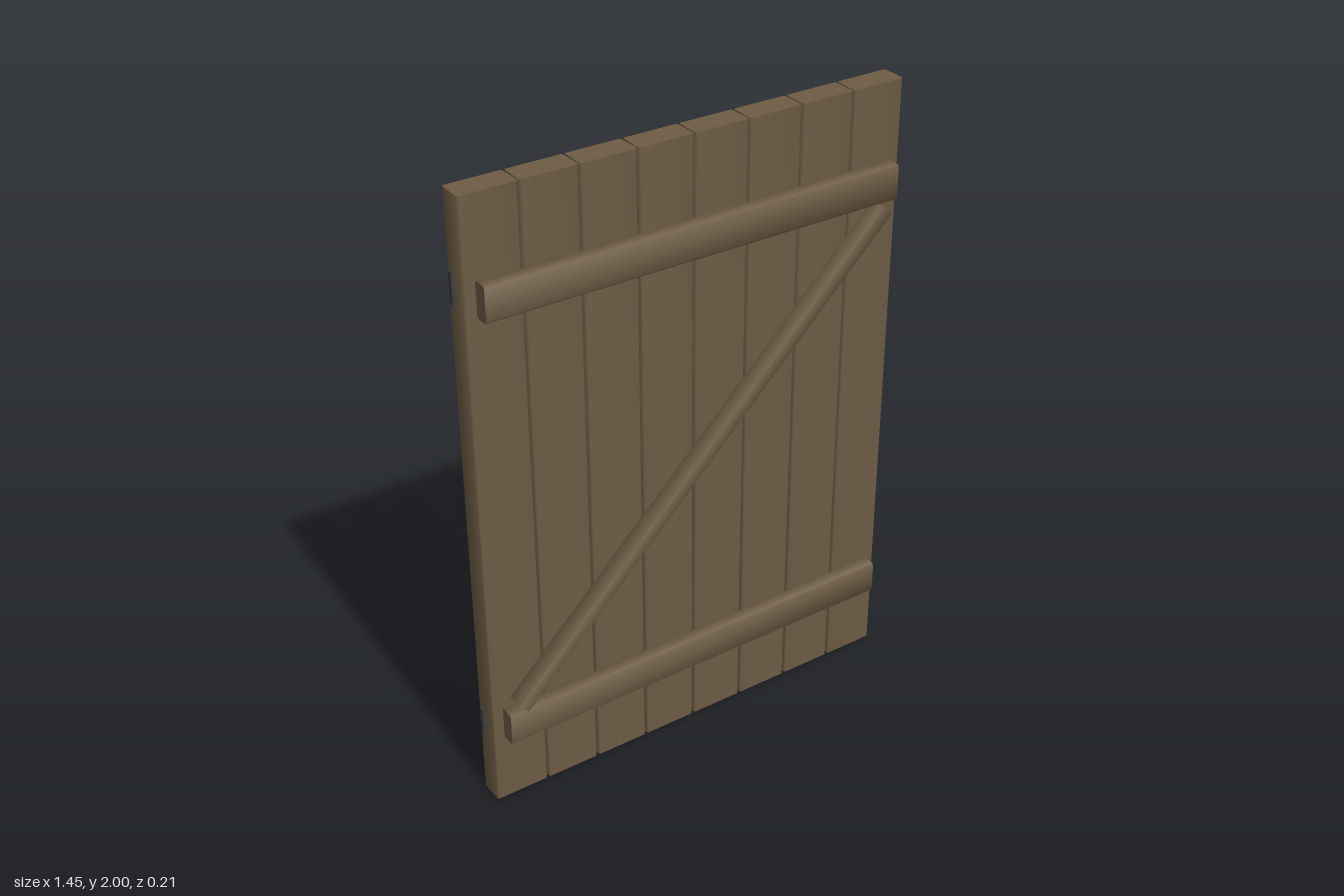
import * as THREE from 'three';
import { toCreasedNormals } from 'three/addons/utils/BufferGeometryUtils.js';

// Upright beam along y with chamfered long edges, softly shaded across the chamfers
function beamGeometry(width, height, depth, chamfer) {
  const w = width / 2, d = depth / 2, c = chamfer;
  const section = new THREE.Shape([
    [w - c, -d], [w, -d + c], [w, d - c], [w - c, d],
    [-w + c, d], [-w, d - c], [-w, -d + c], [-w + c, -d],
  ].map(([x, y]) => new THREE.Vector2(x, y)));
  const g = new THREE.ExtrudeGeometry(section, { depth: height, bevelEnabled: false });
  g.translate(0, 0, -height / 2).rotateX(-Math.PI / 2);
  return toCreasedNormals(g, 0.9);
}

export function createModel() {
  const model = new THREE.Group();
  model.name = 'plankDoor';
  const wood = new THREE.MeshStandardMaterial({ color: 0x6e5d45 });
  wood.name = 'brown wood';
  const iron = new THREE.MeshStandardMaterial({ color: 0x384141 });
  iron.name = 'dark iron';

  function add(name, geometry, material, x, y, z, parent = model) {
    const mesh = new THREE.Mesh(geometry, material);
    mesh.name = name;
    mesh.position.set(x, y, z);
    parent.add(mesh);
    return mesh;
  }
  const box = (w, h, d) => new THREE.BoxGeometry(w, h, d);

  // Eight upright planks with narrow gaps
  const pitch = 1.45 / 8;
  const plank = beamGeometry(pitch - 0.006, 2, 0.082, 0.005);
  for (let i = 0; i < 8; i++) {
    add('plank', plank, wood, (i - 3.5) * pitch, 1, 0.005);
  }

  // Cross rails and diagonal brace on the front
  const rail = beamGeometry(0.11, 1.372, 0.047, 0.006);
  for (const y of [0.286, 1.702]) {
    add('rail', rail, wood, 0, y, 0.069).rotation.z = Math.PI / 2;
  }
  const brace = add('brace', beamGeometry(0.046, 1.81, 0.061, 0.004), wood, 0, 0.992, 0.0755);
  brace.rotation.z = -Math.atan2(1.29, 1.27);

  // Iron straps with bolts on the back, hinge plates on the edge
  const bolt = new THREE.CylinderGeometry(0.006, 0.006, 0.012, 8).rotateX(Math.PI / 2);
  for (const y of [0.27, 1.72]) {
    const hinge = new THREE.Group();
    hinge.name = 'hinge';
    model.add(hinge);
    add('strap', box(1.19, 0.042, 0.018), iron, -0.105, y, -0.045, hinge);
    for (const x of [-0.625, -0.385, -0.12, 0.145, 0.415]) {
      add('bolt', bolt, iron, x, y, -0.057, hinge);
    }
    add('hingePlate', box(0.006, 0.1, 0.016), iron, -0.725, y, -0.015, hinge);
  }

  // Handle: iron back plate, two arms and a wooden grip
  const handle = new THREE.Group();
  handle.name = 'handle';
  model.add(handle);
  add('handlePlate', box(0.058, 0.18, 0.014), iron, 0.519, 0.9, -0.048, handle);
  for (const y of [0.847, 0.984]) {
    add('handleArm', box(0.016, 0.01, 0.04), wood, 0.52, y, -0.073, handle);
  }
  add('grip', beamGeometry(0.02, 0.145, 0.018, 0.005), wood, 0.52, 0.915, -0.097, handle);

  return model;
}
